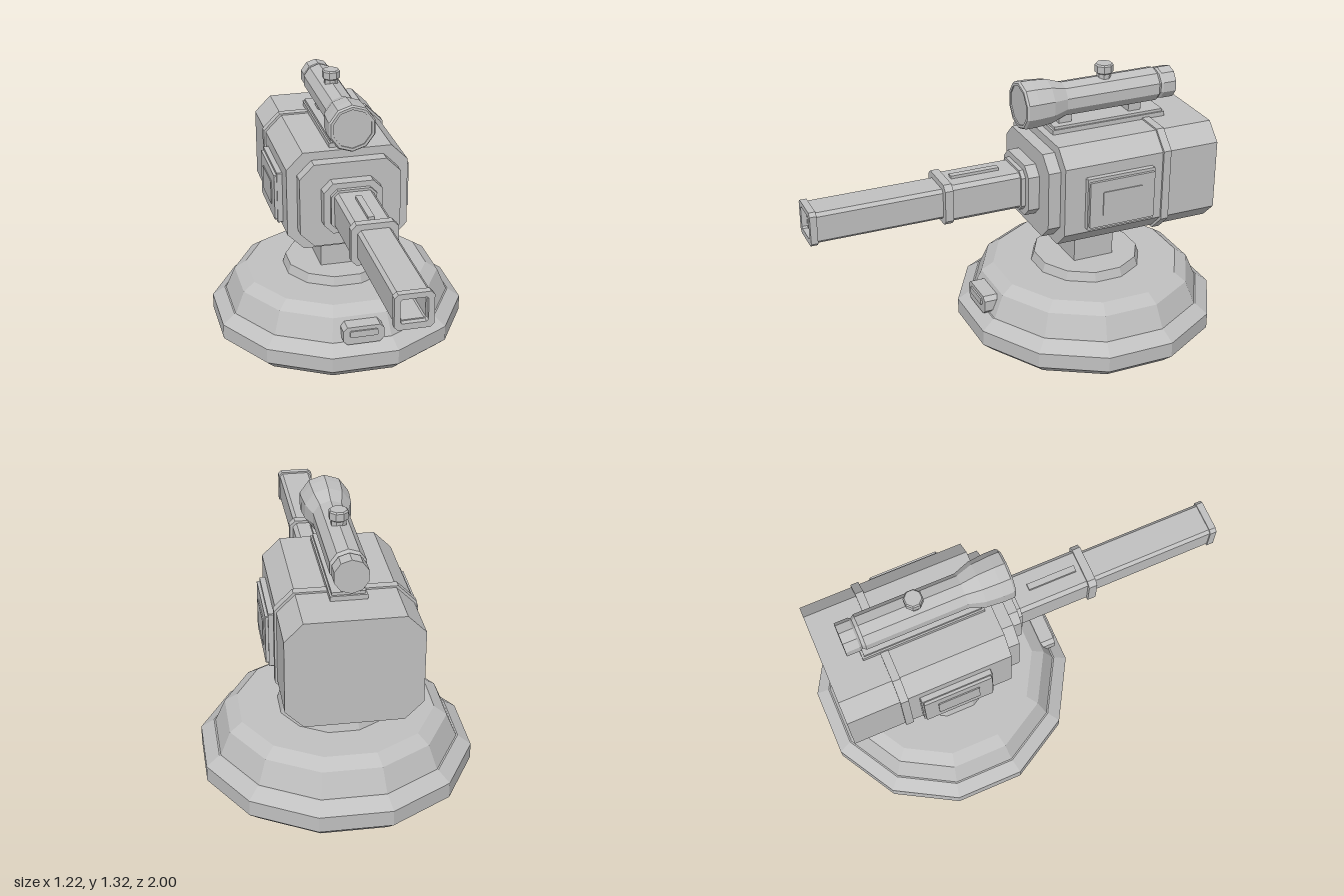
import * as THREE from 'three';

export function createModel() {
  const model = new THREE.Group();
  model.name = 'turret';
  const grey = new THREE.MeshStandardMaterial({ color: 0xc0c0c0, flatShading: true });
  grey.name = 'grey';

  function add(name, geometry, parent = model) {
    const mesh = new THREE.Mesh(geometry, grey);
    mesh.name = name;
    parent.add(mesh);
    return mesh;
  }

  function box(name, x0, x1, y0, y1, z0, z1) {
    const g = new THREE.BoxGeometry(x1 - x0, y1 - y0, z1 - z0);
    return add(name, g.translate((x0 + x1) / 2, (y0 + y1) / 2, (z0 + z1) / 2));
  }

  // Corners of a rectangle with cut corners
  function cutRect(hw, y0, y1, c) {
    return [
      [hw - c, y0], [hw, y0 + c], [hw, y1 - c], [hw - c, y1],
      [c - hw, y1], [-hw, y1 - c], [-hw, y0 + c], [c - hw, y0],
    ].map(([x, y]) => new THREE.Vector2(x, y));
  }

  // Prism along z, optionally hollow
  function prismGeometry(hw, y0, y1, c, z0, z1, hole) {
    const shape = new THREE.Shape(cutRect(hw, y0, y1, c));
    if (hole) shape.holes.push(new THREE.Path(cutRect(...hole)));
    return new THREE.ExtrudeGeometry(shape, { depth: z1 - z0, bevelEnabled: false }).translate(0, 0, z0);
  }
  const prism = (name, ...args) => add(name, prismGeometry(...args));

  // Faceted turned part; the profile is [radius, height]
  function turned(profile, sides) {
    return new THREE.LatheGeometry(profile.map(([r, h]) => new THREE.Vector2(r, h)), sides);
  }

  // Twelve-sided base; profile radii are measured to the flats
  const toCorner = 1 / Math.cos(Math.PI / 12);
  const baseParts = {
    baseRim: [[0, 0], [0.555, 0], [0.61, 0.05], [0.61, 0.125], [0.55, 0.17], [0, 0.17]],
    baseDome: [[0.545, 0.165], [0.497, 0.28], [0.44, 0.32], [0, 0.32]],
    baseCollar: [[0.26, 0.315], [0.245, 0.365], [0, 0.365]],
  };
  for (const [name, profile] of Object.entries(baseParts)) {
    const g = turned(profile.map(([r, h]) => [r * toCorner, h]), 12);
    add(name, g.rotateY(Math.PI / 12).translate(0, 0, -0.39));
  }
  box('post', -0.1, 0.1, 0.36, 0.56, -0.487, -0.283);

  // Small panel on the front of the base
  prism('basePanel', 0.1, 0.17, 0.262, 0.02, 0.08, 0.185);
  prism('basePanelInset', 0.068, 0.21, 0.243, 0.005, 0.18, 0.193);

  // Body with band and stepped nose
  prism('body', 0.295, 0.545, 1.04, 0.08, -0.92, -0.135);
  prism('bodyBand', 0.305, 0.535, 1.048, 0.082, -0.67, -0.632);
  prism('noseOuter', 0.245, 0.58, 1.0, 0.07, -0.14, -0.075);
  prism('noseMiddle', 0.142, 0.665, 0.92, 0.045, -0.08, -0.02);
  prism('noseInner', 0.11, 0.69, 0.892, 0.03, -0.03, 0.0);

  // Barrel, hollow towards the muzzle
  const bore = [0.054, 0.74, 0.842, 0.006];
  prism('barrelRear', 0.095, 0.7, 0.88, 0.018, -0.01, 0.35);
  prism('barrelRing', 0.11, 0.692, 0.892, 0.025, 0.335, 0.375);
  prism('barrelFront', 0.08, 0.715, 0.864, 0.015, 0.37, 0.975, bore);
  prism('muzzle', 0.086, 0.706, 0.872, 0.016, 0.968, 1.0, [0.06, 0.735, 0.847, 0.008]);
  box('barrelStrip', -0.015, 0.015, 0.875, 0.894, 0.075, 0.31);

  // Side panels: bevelled plate with a thin raised inset
  for (const side of [-1, 1]) {
    const panel = new THREE.Group();
    panel.name = side > 0 ? 'leftPanel' : 'rightPanel';
    panel.position.set(side * 0.285, 0, -0.41);
    panel.rotation.y = side * Math.PI / 2;
    model.add(panel);
    add('panelPlate', prismGeometry(0.172, 0.645, 0.905, 0.004, 0, 0.035), panel);
    add('panelFace', prismGeometry(0.165, 0.66, 0.89, 0.004, 0.03, 0.048), panel);
    add('panelInset', prismGeometry(0.1, 0.715, 0.835, 0.003, 0.045, 0.053), panel);
  }

  // Scope rail and mounts
  box('scopeRail', -0.08, 0.08, 1.03, 1.062, -0.75, -0.17);
  box('scopeRailTop', -0.072, 0.072, 1.06, 1.075, -0.74, -0.18);
  for (const z of [-0.25, -0.61]) {
    box('scopeMount', -0.04, 0.04, 1.07, 1.13, z - 0.032, z + 0.032);
  }

  // Ten-sided scope, turned along z
  const scope = turned([
    [0, -0.81], [0.077, -0.81], [0.077, -0.745], [0.07, -0.735], [0.082, -0.72],
    [0.082, -0.245], [0.108, -0.17], [0.115, -0.09], [0.115, -0.04],
    [0.108, -0.03], [0.095, -0.03], [0.095, -0.036], [0, -0.036],
  ], 10);
  add('scope', scope.rotateX(Math.PI / 2).translate(0, 1.18, 0));
  const knob = turned([[0.034, 1.24], [0.034, 1.275], [0.044, 1.282], [0.044, 1.315], [0.038, 1.322], [0, 1.322]], 8);
  add('scopeKnob', knob.rotateY(Math.PI / 8).translate(0, 0, -0.463));

  return model;
}
